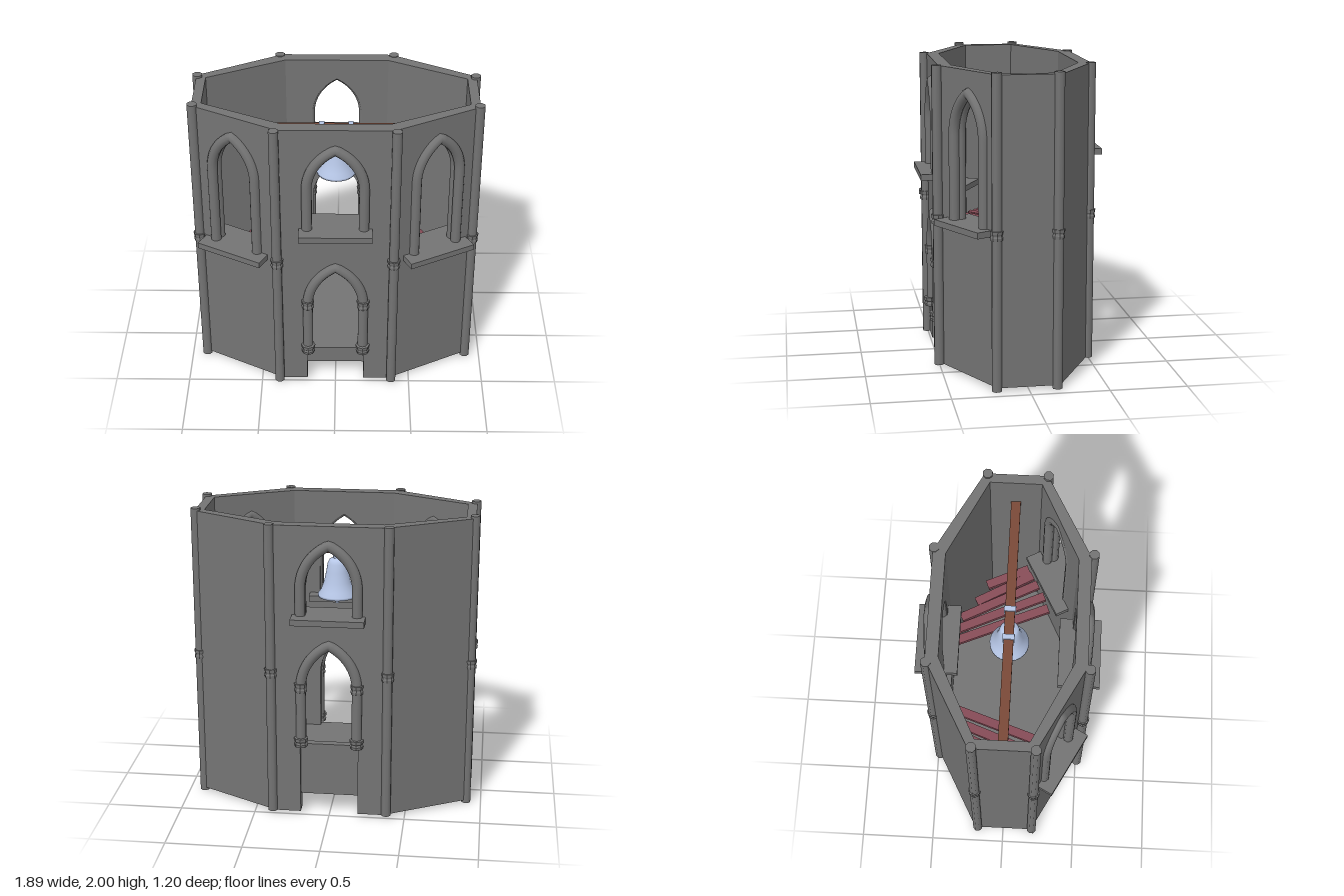
import * as THREE from 'three';

const WALL = 0.08, BOTTOM = 0.02, TOP = 1.985;
// mirrors one front and one side corner into a footprint; each wall then runs left to right seen from outside
const ring = (fx, fz, sx, sz) => [[-fx, fz], [fx, fz], [sx, sz], [sx, -sz], [fx, -fz], [-fx, -fz], [-sx, -sz], [-sx, sz]]
  .map(p => new THREE.Vector2(...p));
const OUTER = ring(0.358, 0.493, 0.906, 0.2);
const INNER = ring(0.34, 0.412, 0.845, 0.165);

const stone = new THREE.MeshStandardMaterial({ color: 0x747474 });
const stoneFlat = new THREE.MeshStandardMaterial({ color: 0x747474, flatShading: true });
const metal = new THREE.MeshStandardMaterial({ color: 0xb6c6e6, side: THREE.DoubleSide });
const wood = new THREE.MeshStandardMaterial({ color: 0x7a4938 });
const redWood = new THREE.MeshStandardMaterial({ color: 0x864c57 });

function add(parent, name, geometry, material, x = 0, y = 0, z = 0) {
  const mesh = new THREE.Mesh(geometry, material);
  mesh.name = name;
  mesh.position.set(x, y, z);
  parent.add(mesh);
  return mesh;
}

// outline of a pointed arch, from the right foot over the apex to the left foot
function archPoints(o, inset = 0) {
  const w = o.w - inset, rise = o.apex - inset - o.spring, steps = 10;
  const radius = (w * w + rise * rise) / (2 * w);
  const end = Math.asin(rise / radius);
  const right = [new THREE.Vector2(w, o.base), new THREE.Vector2(w, (o.base + o.spring) / 2)];
  for (let i = 0; i <= steps; i++) {
    const a = end * i / steps;
    right.push(new THREE.Vector2(w - radius + radius * Math.cos(a), o.spring + radius * Math.sin(a)));
  }
  const left = right.slice(0, -1).reverse().map(p => new THREE.Vector2(-p.x, p.y));
  return [...right, ...left].map(p => p.add(new THREE.Vector2(o.x, 0)));
}

function archMoulding(parent, o, z) {
  const pts = archPoints(o).map(p => new THREE.Vector3(p.x, p.y, z));
  const curve = new THREE.CatmullRomCurve3(pts, false, 'centripetal');
  add(parent, 'archMoulding', new THREE.TubeGeometry(curve, 70, 0.034, 10), stone);
}

// stepped ring used for capitals, bases and pillar bands
function band(parent, name, x, y, z, r) {
  const profile = [[0, -0.03], [r * 0.95, -0.03], [r, -0.012], [r * 0.9, -0.004], [r * 0.9, 0.004], [r, 0.01], [r * 1.04, 0.03], [0, 0.03]];
  add(parent, name, new THREE.LatheGeometry(profile.map(p => new THREE.Vector2(...p)), 8), stoneFlat, x, y, z);
}

// one wall with mitred ends; windows are holes, a doorway is cut up from the bottom edge
function wallPanel(root, index, { door, window } = {}) {
  const a = OUTER[index], b = OUTER[(index + 1) % 8];
  const mid = a.clone().add(b).multiplyScalar(0.5);
  const half = a.distanceTo(b) / 2;
  const u = b.clone().sub(a).normalize(), n = new THREE.Vector2(-u.y, u.x);

  const group = new THREE.Group();
  group.name = 'wallSide';
  group.position.set(mid.x, 0, mid.y);
  group.rotation.y = Math.atan2(-u.y, u.x);
  root.add(group);

  const outline = [new THREE.Vector2(-half, BOTTOM)];
  if (door) {
    outline.push(new THREE.Vector2(-0.19, BOTTOM), new THREE.Vector2(-0.19, door.base));
    outline.push(...archPoints(door, 0.016).reverse());
    outline.push(new THREE.Vector2(0.19, door.base), new THREE.Vector2(0.19, BOTTOM));
  }
  outline.push(new THREE.Vector2(half, BOTTOM), new THREE.Vector2(half, TOP), new THREE.Vector2(-half, TOP));
  const shape = new THREE.Shape(outline);
  if (window) shape.holes.push(new THREE.Path(archPoints(window, 0.016)));
  const geo = new THREE.ExtrudeGeometry(shape, { depth: WALL, bevelEnabled: false });

  // move the inner face onto the inner footprint
  const [l, r] = [INNER[index], INNER[(index + 1) % 8]].map(p => p.clone().sub(mid));
  const pos = geo.attributes.position;
  for (let i = 0; i < pos.count; i++) {
    const x = pos.getX(i);
    if (pos.getZ(i) > WALL / 2) {
      pos.setZ(i, 0);
      continue;
    }
    pos.setZ(i, THREE.MathUtils.lerp(l.dot(n), r.dot(n), (x + half) / (2 * half)));
    if (Math.abs(x) > half - 1e-4) pos.setX(i, x < 0 ? l.dot(u) : r.dot(u));
  }
  geo.computeVertexNormals();
  add(group, 'wall', geo, stoneFlat);

  if (window) {
    archMoulding(group, window, 0.002);
    archMoulding(group, window, -0.046);
    add(group, 'windowSill', new THREE.BoxGeometry(0.47, 0.04, 0.275), stone, window.x, window.base - 0.018, -0.0305);
  }
  if (door) {
    archMoulding(group, door, 0);
    // recessed panel closing the opening below the columns
    add(group, 'threshold', new THREE.BoxGeometry(0.38, door.base - 0.14, 0.05), stone, 0, (door.base + 0.14) / 2, -0.055);
    for (const s of [-1, 1]) {
      band(group, 'capital', s * door.w, door.spring, 0.004, 0.041);
      band(group, 'columnBase', s * door.w, door.base + 0.03, 0.008, 0.045);
    }
  }
}

function makeBell() {
  const bell = new THREE.Group();
  bell.name = 'bell';
  const profile = [[0.1, 1.385], [0.128, 1.38], [0.128, 1.395], [0.108, 1.425], [0.088, 1.48], [0.073, 1.55], [0.064, 1.605], [0.05, 1.632], [0, 1.64]];
  add(bell, 'bellBody', new THREE.LatheGeometry(profile.map(p => new THREE.Vector2(...p)), 32), metal);
  add(bell, 'bellLoop', new THREE.TorusGeometry(0.022, 0.007, 8, 20), metal, 0, 1.655, 0);
  add(bell, 'clapper', new THREE.CylinderGeometry(0.012, 0.012, 0.28, 10), metal, 0, 1.47, 0);
  for (const s of [-1, 1]) add(bell, 'beamBracket', new THREE.BoxGeometry(0.035, 0.066, 0.075), metal, s * 0.095, 1.708, 0);
  return bell;
}

export function createModel() {
  const root = new THREE.Group();
  root.name = 'bellTower';

  // walls: doorway and window in front and behind, tall windows on the front diagonals
  const arch = (base, spring, apex, w = 0.182, x = 0) => ({ base, spring, apex, w, x });
  const openings = {
    0: { door: arch(0.26, 0.66, 0.955), window: arch(1.26, 1.56, 1.845) },
    1: { window: arch(1.02, 1.57, 1.845, 0.157, 0.017) },
    4: { door: arch(0.5, 0.91, 1.2), window: arch(1.4, 1.58, 1.86) },
    7: { window: arch(1.02, 1.57, 1.845, 0.157, -0.017) },
  };
  for (let i = 0; i < 8; i++) wallPanel(root, i, openings[i]);

  // corner pillars
  for (const { x, y: z } of OUTER) {
    const outer = Math.abs(x) > 0.5;
    const px = Math.sign(x) * (outer ? 0.9 : 0.378);
    const pz = outer ? (z > 0 ? 0.203 : -0.182) : (z > 0 ? 0.508 : -0.486);
    const pillar = add(root, 'cornerPillar', new THREE.CylinderGeometry(0.033, 0.033, outer ? 2 : 1.97, 8), stone, px, outer ? 1 : 1.005, pz);
    pillar.rotation.y = Math.PI / 8;
    band(root, 'pillarBand', px, 1.0, pz, 0.041);
  }

  // floor, its rim buried in the walls
  const floorShape = new THREE.Shape(INNER.map(p => new THREE.Vector2(p.x * 1.02, -p.y * 1.02)));
  const floor = new THREE.ExtrudeGeometry(floorShape, { depth: 0.04, bevelEnabled: false });
  floor.rotateX(-Math.PI / 2);
  add(root, 'floor', floor, stoneFlat, 0, 0.22, 0);

  // loose planks on both sides, each from (x1, z1) to (x2, z2), rising towards the front
  const planks = [[0.25, -0.38, 0.49, 0.25], [0.335, -0.38, 0.58, 0.22], [0.42, -0.36, 0.67, 0.17], [0.54, -0.26, 0.74, 0.13], [0.67, -0.19, 0.79, 0.1]];
  for (const s of [-1, 1]) {
    for (const [x1, z1, x2, z2] of planks) {
      const geo = new THREE.BoxGeometry(0.062, 0.03, Math.hypot(x2 - x1, z2 - z1));
      const plank = add(root, 'plank', geo, redWood, s * (x1 + x2) / 2, 0.76, (z1 + z2) / 2);
      plank.rotation.set(-0.12, s * Math.atan2(x2 - x1, z2 - z1), 0, 'YXZ');
    }
  }

  // beam and bell
  add(root, 'bellBeam', new THREE.BoxGeometry(1.69, 0.052, 0.062), wood, 0, 1.706, 0);
  root.add(makeBell());
  return root;
}
